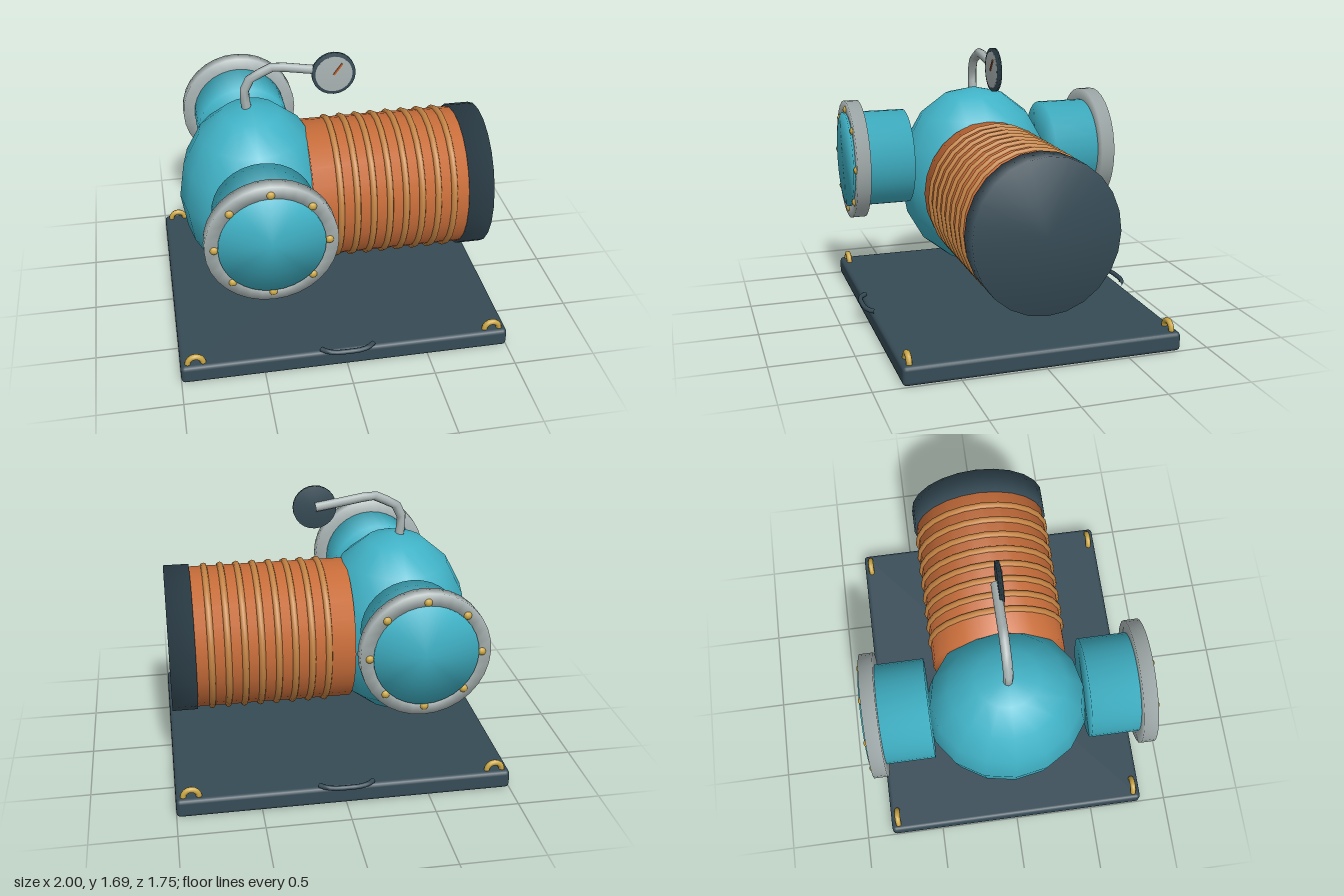
import * as THREE from 'three';
import { RoundedBoxGeometry } from 'three/addons/geometries/RoundedBoxGeometry.js';

const mat = (name, color) => new THREE.MeshStandardMaterial({ name, color });
const V = (x, y, z) => new THREE.Vector3(x, y, z);

// Turned solid with softly shaded edges, standing on y = 0
const drum = (r, h, n) => new THREE.LatheGeometry(
  [[0, 0], [r, 0], [r, h], [0, h]].map(p => new THREE.Vector2(...p)), n);

// Angular pipe through a few points
function pipe(points, r) {
  const path = new THREE.CurvePath();
  for (let i = 1; i < points.length; i++) path.add(new THREE.LineCurve3(points[i - 1], points[i]));
  const curve = new THREE.CatmullRomCurve3(points, false, 'catmullrom', 0.1);
  return new THREE.TubeGeometry(curve, (points.length - 1) * 2, r, 8);
}

export function createModel() {
  const teal = mat('teal paint', 0x40b2c6);
  const orange = mat('orange paint', 0xcb6f3b);
  const copper = mat('copper bands', 0xc58444);
  const dark = mat('dark slate', 0x364b56);
  const steel = mat('pale steel', 0xaab4b4);
  const gold = mat('brass', 0xcba745);
  const needleRed = mat('needle orange', 0xc4602c);

  const model = new THREE.Group();
  function add(parent, name, geometry, material, x = 0, y = 0, z = 0) {
    const mesh = new THREE.Mesh(geometry, material);
    mesh.name = name;
    mesh.position.set(x, y, z);
    parent.add(mesh);
    return mesh;
  }

  // Base plate
  add(model, 'basePlate', new RoundedBoxGeometry(2, 0.115, 1.66, 2, 0.025), dark, 0, 0.0575, 0);

  // Lifting eyes and carrying handles
  for (const z of [-1, 1]) {
    for (const x of [-1, 1])
      add(model, 'liftingEye', new THREE.TorusGeometry(0.046, 0.018, 8, 16), gold, x * 0.91, 0.115, z * 0.785);
    const points = [[-0.16, 0.81], [-0.12, 0.845], [-0.06, 0.86], [0.06, 0.86], [0.12, 0.845], [0.16, 0.81]];
    add(model, 'handle', pipe(points.map(([x, d]) => V(x, 0.128, z * d)), 0.015), dark);
  }

  // Egg-shaped pump body
  add(model, 'body', new THREE.SphereGeometry(1, 16, 8).scale(0.46, 0.585, 0.5), teal, -0.44, 0.795, 0);

  // Flanged ports on both sides
  for (const turn of [0, Math.PI]) {
    const port = new THREE.Group();
    port.name = 'port';
    port.position.set(-0.44, 0.95, 0);
    port.rotation.y = turn;
    model.add(port);
    add(port, 'portBarrel', drum(0.302, 0.392, 32).rotateX(Math.PI / 2), teal, 0, 0, 0.47);
    const profile = [[0.29, 0], [0.376, 0], [0.376, 0.085], [0.29, 0.085], [0.29, 0]];
    add(port, 'flange', new THREE.LatheGeometry(profile.map(p => new THREE.Vector2(...p)), 32)
      .rotateX(Math.PI / 2), steel, 0, 0, 0.764);
    for (let i = 0; i < 8; i++) {
      const a = i * Math.PI / 4;
      add(port, 'bolt', new THREE.SphereGeometry(0.026, 10, 8), gold,
        Math.cos(a) * 0.322, Math.sin(a) * 0.322, 0.84);
    }
  }

  // Motor housing, slightly oval, with cooling bands and an end cap
  const motor = new THREE.Group();
  motor.name = 'motor';
  motor.position.y = 0.765;
  motor.scale.z = 0.953;
  model.add(motor);
  add(motor, 'motorDrum', drum(0.44, 0.965, 24).rotateZ(-Math.PI / 2), orange, -0.125);
  for (let i = 0; i < 8; i++)
    add(motor, 'coolingBand', new THREE.TorusGeometry(0.437, 0.021, 8, 24).rotateY(Math.PI / 2),
      copper, 0.037 + i * 0.1);
  add(motor, 'endCap', drum(0.456, 0.155, 24).rotateZ(-Math.PI / 2), dark, 0.828);

  // Bent gauge pipe
  add(model, 'gaugePipe', pipe([V(-0.463, 1.34, 0), V(-0.48, 1.47, 0), V(-0.44, 1.555, 0),
    V(-0.3, 1.622, 0), V(-0.07, 1.585, 0), V(0.055, 1.565, 0)], 0.029), steel);

  // Pressure gauge with dial and needle
  const gauge = new THREE.Group();
  gauge.name = 'gauge';
  gauge.position.set(0.057, 1.56, 0);
  model.add(gauge);
  add(gauge, 'gaugeCase', drum(0.132, 0.026, 24).rotateX(Math.PI / 2), dark, 0, 0, 0.008);
  add(gauge, 'dial', drum(0.112, 0.006, 24).rotateX(Math.PI / 2), steel, 0, 0, 0.033);
  add(gauge, 'needle', new THREE.BoxGeometry(0.085, 0.011, 0.006), needleRed, 0.024, 0.032, 0.042)
    .rotation.z = 0.93;

  return model;
}
